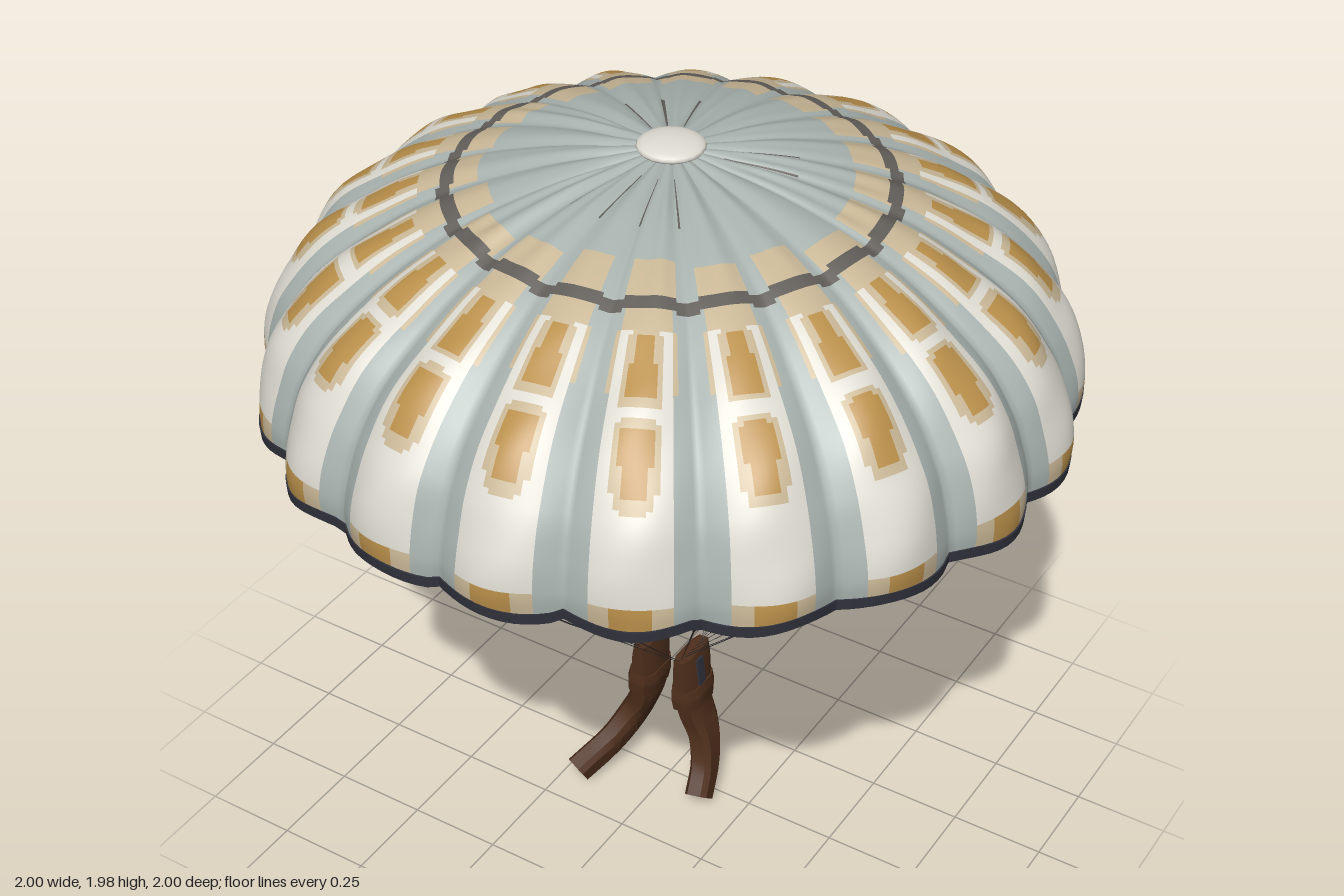
import * as THREE from 'three';
import { toCreasedNormals } from 'three/addons/utils/BufferGeometryUtils.js';

const GORES = 20;
const mat = (name, color, extra = {}) => {
  const m = new THREE.MeshStandardMaterial({ color, ...extra });
  m.name = name;
  return m;
};
// repeatable 0..1 noise
const noise = (k, n) => {
  const s = Math.sin(k * 12.9898 + n * 78.233) * 43758.5453;
  return s - Math.floor(s);
};
const smooth = THREE.MathUtils.smoothstep;

// canopy meridian: radius, height
const meridian = new THREE.SplineCurve([
  [0.02, 1.955], [0.1, 1.955], [0.3, 1.93], [0.53, 1.87], [0.7, 1.795], [0.85, 1.695],
  [0.94, 1.585], [0.985, 1.48], [1.005, 1.39], [1.003, 1.325],
].map(([r, y]) => new THREE.Vector2(r, y)));

// point on the canopy: gore k, position u across it, t down the meridian
function canopyPoint(k, u, t, inset) {
  const p = meridian.getPointAt(t), d = meridian.getTangentAt(t);
  const sag = 0.01 * Math.min(1, p.x / 0.15) + 0.034 * smooth(p.x, 0.4, 0.98);
  const pleat = 0.006 * smooth(p.x, 0.1, 0.25) * (1 - smooth(p.x, 0.45, 0.6))
    * Math.sin(u * Math.PI * 4) * (noise(k, 1) - 0.3);
  const crease = 0.0036 * smooth(p.x, 0.55, 0.75) * Math.sin(u * Math.PI)
    * Math.sin(t * 26 + u * 5 + k * 2.4);
  const off = -sag * (1 - Math.sin(u * Math.PI)) + pleat + crease - inset;
  return [p.x - d.y * off, p.y + d.x * off];
}

// closed sheet around the y axis; each cell picks a material index
function sheet(point, cols, rows, colourAt, flip = false) {
  const n = GORES * cols, pos = [], lists = {};
  for (let j = 0; j <= rows; j++) {
    for (let i = 0; i < n; i++) {
      const a = (i / n) * Math.PI * 2;
      const [r, y] = point(Math.floor(i / cols), (i % cols) / cols, j);
      pos.push(r * Math.sin(a), y, r * Math.cos(a));
    }
  }
  for (let j = 0; j < rows; j++) {
    for (let i = 0; i < n; i++) {
      const a = j * n + i, b = a + n, d = j * n + (i + 1) % n, c = d + n;
      const list = (lists[colourAt(Math.floor(i / cols), ((i % cols) + 0.5) / cols, j + 0.5)] ??= []);
      list.push(...(flip ? [a, c, b, a, d, c] : [a, b, c, a, c, d]));
    }
  }
  const g = new THREE.BufferGeometry(), index = [];
  for (const [m, list] of Object.entries(lists)) {
    g.addGroup(index.length, list.length, Number(m));
    for (const v of list) index.push(v);
  }
  g.setAttribute('position', new THREE.Float32BufferAttribute(pos, 3));
  g.setIndex(index);
  g.computeVertexNormals();
  return g;
}

// distance outside a rounded patch centred on the gore
const patch = (d, q, half, q0, q1) =>
  Math.hypot(Math.max(0, d - half), Math.max(0, q0 - q, q - q1));

// cloth pattern: 0 white, 1 grey, 2 tan, 3 ochre, 4 dark band, 5 lining
function outerColour(k, u, t) {
  const { x: r, y } = meridian.getPointAt(t);
  const c = Math.abs(u - 0.5), d = c * r * (Math.PI * 2 / GORES);
  const j = (noise(k, 2) - 0.5) * 0.025;
  const band = 0.505 + 0.024 * c;
  if (r < 0.3) return r > 0.13 && c > 0.45 && noise(k, 4) > 0.6 ? 4 : 1;
  if (r < 0.43 + j * 2) return 1;
  if (r < band) return c < 0.38 + j * 5 ? 2 : 1;
  if (r < band + 0.034) return 4;
  if (y < 1.4 + j * 0.5) return d < 0.055 ? 3 : d < 0.1 ? 2 : 1;
  const q = r + j * 0.6;
  const inner = patch(d, q, 0.012 + 0.018 * smooth(q, 0.58, 0.76), 0.61, 0.735);
  const outer = patch(d, q, 0.024, 0.805, 0.9);
  if (inner < 0.006 || outer < 0.01) return 3;
  if (inner < 0.022 || outer < 0.026) return 2;
  if (r < 0.6) return c < 0.28 ? 2 : 1;
  if (r < 0.74 + j && c > 0.28 && c < 0.34) return 2;
  return c < 0.3 + j * 2 ? 0 : 1;
}
function innerColour(k, u, t) {
  const { x: r, y } = meridian.getPointAt(t);
  const d = (0.5 - Math.abs(u - 0.5)) * r * (Math.PI * 2 / GORES);
  if (y < 1.44) return d < 0.068 - (y - 1.34) * 0.35 ? 1 : 5;
  return y > 1.54 && y < 1.67 && d < 0.027 ? 0 : 5;
}

// strap lofted along a path with a chamfered rectangular section
function strap(points, sizes) {
  const curve = new THREE.CatmullRomCurve3(points.map((p) => new THREE.Vector3(...p)));
  const steps = 14, pos = [], index = [];
  const section = [[1, 0.6], [0.6, 1], [-0.6, 1], [-1, 0.6], [-1, -0.6], [-0.6, -1], [0.6, -1], [1, -0.6]];
  for (let i = 0; i <= steps; i++) {
    const t = i / steps, p = curve.getPoint(t), dir = curve.getTangent(t);
    const side = new THREE.Vector3(1, 0, 0).addScaledVector(dir, -dir.x).normalize();
    const front = new THREE.Vector3().crossVectors(side, dir);
    const f = t * (sizes.length - 1), s = Math.min(Math.floor(f), sizes.length - 2);
    const w = [0, 1].map((n) => THREE.MathUtils.lerp(sizes[s][n], sizes[s + 1][n], f - s));
    for (const [a, b] of section) {
      const v = p.clone().addScaledVector(side, a * w[0]).addScaledVector(front, b * w[1]);
      pos.push(v.x, v.y, v.z);
    }
  }
  for (let i = 0; i < steps; i++) {
    for (let s = 0; s < 8; s++) {
      const a = i * 8 + s, b = i * 8 + (s + 1) % 8;
      index.push(a, b, b + 8, a, b + 8, a + 8);
    }
  }
  const e = steps * 8;
  for (let s = 1; s < 7; s++) index.push(0, s + 1, s, e, e + s, e + s + 1);
  const g = new THREE.BufferGeometry();
  g.setAttribute('position', new THREE.Float32BufferAttribute(pos, 3));
  g.setIndex(index);
  return toCreasedNormals(g, 0.6);
}

export function createModel() {
  const model = new THREE.Group();
  const cloth = [
    mat('white cloth', 0xdedcd2), mat('grey cloth', 0xa8b2ae), mat('tan cloth', 0xc9b796),
    mat('ochre cloth', 0xb98f4a), mat('dark band', 0x625e5a), mat('ochre lining', 0xb28c50),
  ];
  const navy = mat('navy hem', 0x31323c);
  const cord = mat('cord', 0x2b2b30);
  const brown = mat('brown webbing', 0x4e2f1c, { side: THREE.DoubleSide });
  const add = (name, geometry, material, parent = model) => {
    const m = new THREE.Mesh(geometry, material);
    m.name = name;
    parent.add(m);
    return m;
  };

  // canopy skin and lining
  const R = 110, L = 48;
  add('canopyOutside', sheet((k, u, j) => canopyPoint(k, u, j / R, 0), 20, R,
    (k, u, j) => outerColour(k, u, j / R)), cloth);
  add('canopyLining', sheet((k, u, j) => canopyPoint(k, u, j / L, 0.014), 14, L,
    (k, u, j) => innerColour(k, u, j / L), true), cloth);

  // thick scalloped hem
  const hemSection = [[0.005, 1.342], [0.003, 1.314], [-0.038, 1.314], [-0.038, 1.342], [0.005, 1.342]];
  const hem = sheet((k, u, j) => {
    const [r] = canopyPoint(k, u, 1, 0);
    const wave = 0.006 * Math.sin(u * Math.PI * 2 + k * 1.9);
    return [r + hemSection[j][0], hemSection[j][1] + wave];
  }, 12, 4, () => 0);
  add('hem', toCreasedNormals(hem, 0.7), [navy]);

  // vent cap at the crown
  const cap = add('ventCap', new THREE.SphereGeometry(0.083, 20, 10), cloth[0]);
  cap.scale.y = 0.24;
  cap.position.y = 1.964;

  // suspension lines from each seam to the risers
  const lines = new THREE.Group();
  lines.name = 'suspensionLines';
  model.add(lines);
  const rod = (name, a, b, ra, rb) => {
    const dir = b.clone().sub(a);
    const m = add(name, new THREE.CylinderGeometry(rb, ra, dir.length(), 5), cord, lines);
    m.position.copy(a).addScaledVector(dir, 0.5);
    m.quaternion.setFromUnitVectors(new THREE.Vector3(0, 1, 0), dir.normalize());
  };
  for (let k = 0; k < GORES; k++) {
    const a = (k / GORES) * Math.PI * 2, sx = Math.sin(a), cz = Math.cos(a);
    const top = new THREE.Vector3(0.93 * sx, 1.325, 0.93 * cz);
    const ends = Math.abs(sx) < 0.01 ? [-1, 1] : [Math.sign(sx)];
    const low = ends.map((s) => new THREE.Vector3(s * 0.06, 0.46, 0.055 * cz));
    const mid = ends.length > 1 ? new THREE.Vector3(0, 0.85, 0.46 * cz) : top.clone().lerp(low[0], 0.5);
    rod('upperLine', mid, top, 0.0018, 0.0025);
    low.forEach((p) => rod('lowerLine', p, mid, 0.0007, 0.0015));
    rod('lineSplice', top.clone().lerp(mid, 0.45), top.clone().lerp(mid, 0.6), 0.005, 0.004);
  }

  // risers: flat upper strap, cuff and hanging lower strap
  const sizes = [[0.036, 0.058], [0.035, 0.052], [0.033, 0.047], [0.031, 0.04], [0.032, 0.036]];
  const risers = [
    { name: 'rightRiser', s: -1, path: [[-0.066, 0.36, 0], [-0.075, 0.28, -0.005], [-0.108, 0.19, -0.005], [-0.148, 0.1, 0.06], [-0.198, 0.035, 0.165]] },
    { name: 'leftRiser', s: 1, path: [[0.066, 0.36, 0], [0.072, 0.28, -0.005], [0.096, 0.19, -0.012], [0.118, 0.1, 0.015], [0.135, 0.03, 0.075]] },
  ];
  for (const { name, s, path } of risers) {
    const g = new THREE.Group();
    g.name = name;
    model.add(g);
    add('upperStrap', strap([[s * 0.062, 0.465, 0], [s * 0.064, 0.42, 0], [s * 0.066, 0.34, 0]],
      [[0.022, 0.066], [0.029, 0.066], [0.035, 0.064]]), brown, g);
    add('cuff', strap([[s * 0.066, 0.365, 0], [s * 0.068, 0.335, 0], [s * 0.071, 0.3, 0]],
      [[0.037, 0.066], [0.041, 0.069], [0.037, 0.066]]), brown, g);
    add('lowerStrap', strap(path, sizes), brown, g);
    // dark webbing tab on the outer face
    const tab = add('lineTab', new THREE.BoxGeometry(0.008, 0.08, 0.03), navy, g);
    tab.position.set(s * 0.0945, 0.41, 0.005);
    tab.rotation.z = s * 0.13;
  }
  return model;
}
